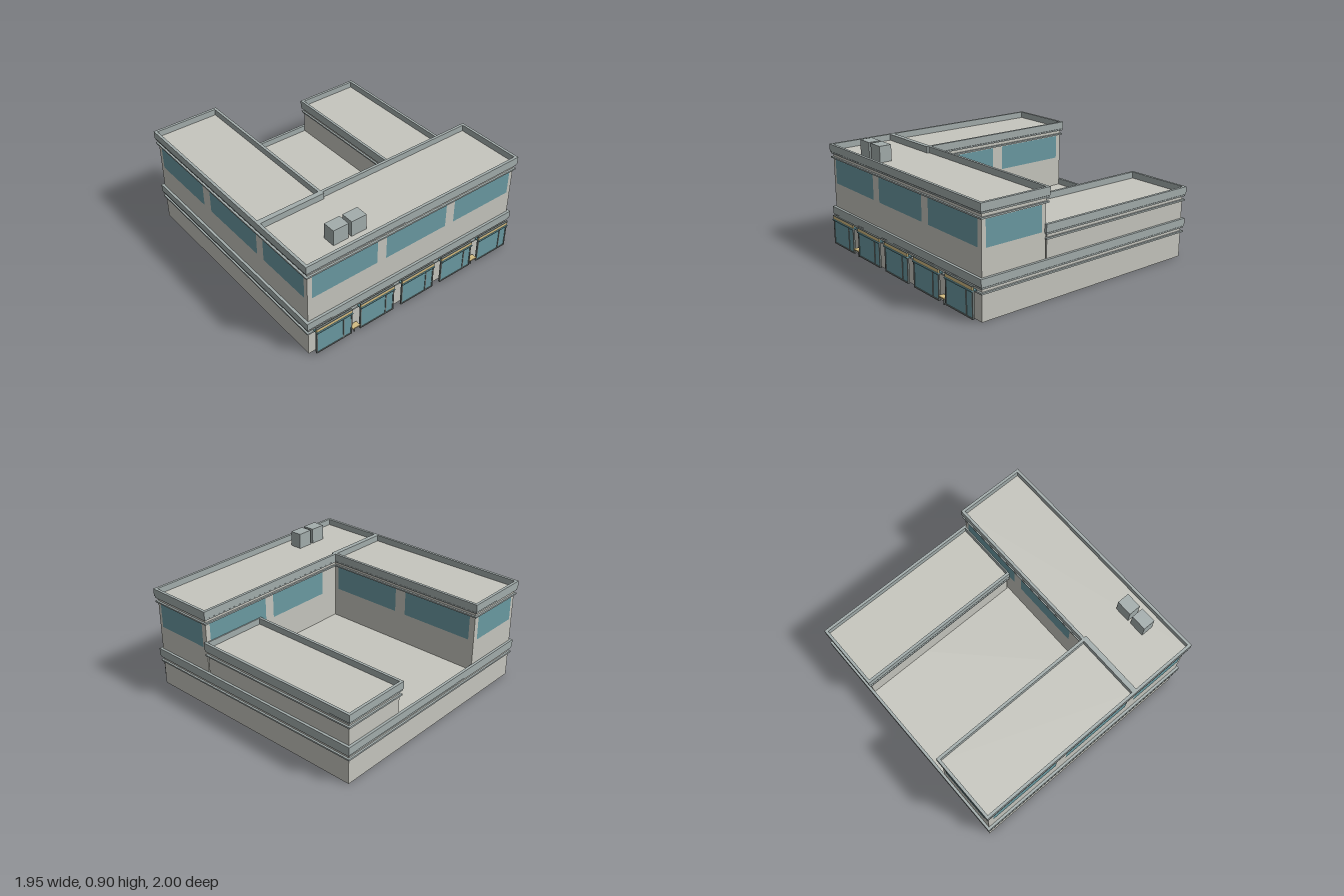
import * as THREE from 'three';

const mat = (color) => new THREE.MeshStandardMaterial({ color });
const wall = mat(0xc6c6be), trim = mat(0xa3adac), frame = mat(0x6f7775), tan = mat(0xd3bc82);
const glass = new THREE.MeshStandardMaterial({ color: 0x6a9aa2, side: THREE.DoubleSide });

// Box given by its minimum and maximum corners
function box(parent, name, material, [x0, y0, z0], [x1, y1, z1]) {
  const mesh = new THREE.Mesh(new THREE.BoxGeometry(x1 - x0, y1 - y0, z1 - z0), material);
  mesh.position.set((x0 + x1) / 2, (y0 + y1) / 2, (z0 + z1) / 2);
  mesh.name = name;
  parent.add(mesh);
}

// Rectangular ring around a footprint, standing out by "out"
function ring(parent, name, f, y0, y1, out) {
  const rect = (target, o) => {
    target.moveTo(f.x0 - o, -f.z1 - o);
    target.lineTo(f.x1 + o, -f.z1 - o);
    target.lineTo(f.x1 + o, -f.z0 + o);
    target.lineTo(f.x0 - o, -f.z0 + o);
    target.closePath();
    return target;
  };
  const shape = rect(new THREE.Shape(), out);
  shape.holes.push(rect(new THREE.Path(), -0.002));
  const geo = new THREE.ExtrudeGeometry(shape, { depth: y1 - y0, bevelEnabled: false });
  geo.rotateX(-Math.PI / 2);
  const mesh = new THREE.Mesh(geo, trim);
  mesh.position.y = y0;
  mesh.name = name;
  parent.add(mesh);
}

// Walls with a flat roof, a parapet and two mouldings below it
function block(parent, name, f, bottom, top) {
  const group = new THREE.Group();
  group.name = name;
  box(group, 'walls', wall, [f.x0, bottom, f.z0], [f.x1, top - 0.05, f.z1]);
  ring(group, 'parapet', f, top - 0.06, top, 0.02);
  ring(group, 'upperMoulding', f, top - 0.075, top - 0.064, 0.015);
  ring(group, 'lowerMoulding', f, top - 0.112, top - 0.1, 0.015);
  parent.add(group);
}

// Flat upper-floor window; "turn" is its heading around y
function windowPane(parent, width, x, z, turn) {
  const pane = new THREE.Mesh(new THREE.PlaneGeometry(width, 0.194), glass);
  pane.position.set(x + Math.sin(turn) * 0.003, 0.608, z + Math.cos(turn) * 0.003);
  pane.rotation.y = turn;
  pane.name = 'upperWindow';
  parent.add(pane);
}

// Shop front: framed glass with a door, canopy and sign board
function shopFront(parent, x) {
  const shop = new THREE.Group();
  shop.name = 'shopFront';
  const w = 0.155, z0 = 0.976, z1 = 0.99;
  box(shop, 'shopGlass', glass, [-w + 0.005, 0.025, 0.979], [w - 0.005, 0.22, 0.986]);
  for (const px of [-w, 0.075, w - 0.01])
    box(shop, 'framePost', frame, [px, 0.02, z0], [px + 0.01, 0.222, z1]);
  box(shop, 'frameSill', frame, [-w, 0.02, z0], [w, 0.03, z1]);
  box(shop, 'canopy', glass, [-w, 0.216, 0.953], [w, 0.225, 1]);
  box(shop, 'signBoard', tan, [-w, 0.226, 0.98], [w, 0.25, 0.992]);
  box(shop, 'signCap', frame, [-w, 0.25, 0.978], [w, 0.256, 0.994]);
  shop.position.x = x;
  parent.add(shop);
}

export function createModel() {
  const model = new THREE.Group();
  model.name = 'shoppingBuilding';
  const X = 0.957, back = -0.98, front = 0.94, mid = 0.4, wingIn = 0.438;

  // Ground floor, front block and the two wings around the courtyard
  block(model, 'groundFloor', { x0: -X, x1: X, z0: back, z1: front }, 0, 0.312);
  block(model, 'frontBlock', { x0: -X, x1: X, z0: mid, z1: front }, 0.262, 0.824);
  block(model, 'tallWing', { x0: -X, x1: -wingIn, z0: back, z1: mid }, 0.262, 0.824);
  block(model, 'lowWing', { x0: wingIn, x1: X, z0: back, z1: mid - 0.01 }, 0.262, 0.565);

  // Upper windows
  for (const x of [-0.64, 0, 0.64]) {
    windowPane(model, 0.56, x, front, 0);
    if (x >= 0) windowPane(model, 0.56, x, mid, Math.PI);
  }
  for (const s of [-1, 1]) windowPane(model, 0.47, s * X, 0.673, s * Math.PI / 2);
  for (const z of [0.06, -0.635]) {
    windowPane(model, 0.6, -X, z, -Math.PI / 2);
    windowPane(model, 0.6, -wingIn, z, Math.PI / 2);
  }
  windowPane(model, 0.44, -0.698, back, Math.PI);

  // Shops along the street
  for (let i = -2; i <= 2; i++) shopFront(model, i * 0.384);

  // Small tables between the outer shops
  for (const x of [-0.577, 0.573]) {
    box(model, 'tableTop', tan, [x - 0.033, 0.055, 0.95], [x + 0.033, 0.064, 0.995]);
    box(model, 'tablePost', frame, [x - 0.004, 0, 0.966], [x + 0.004, 0.055, 0.974]);
  }

  // Roof cooling units
  for (const x of [-0.61, -0.457])
    box(model, 'roofUnit', trim, [x - 0.064, 0.772, 0.755], [x + 0.064, 0.9, 0.855]);

  return model;
}
